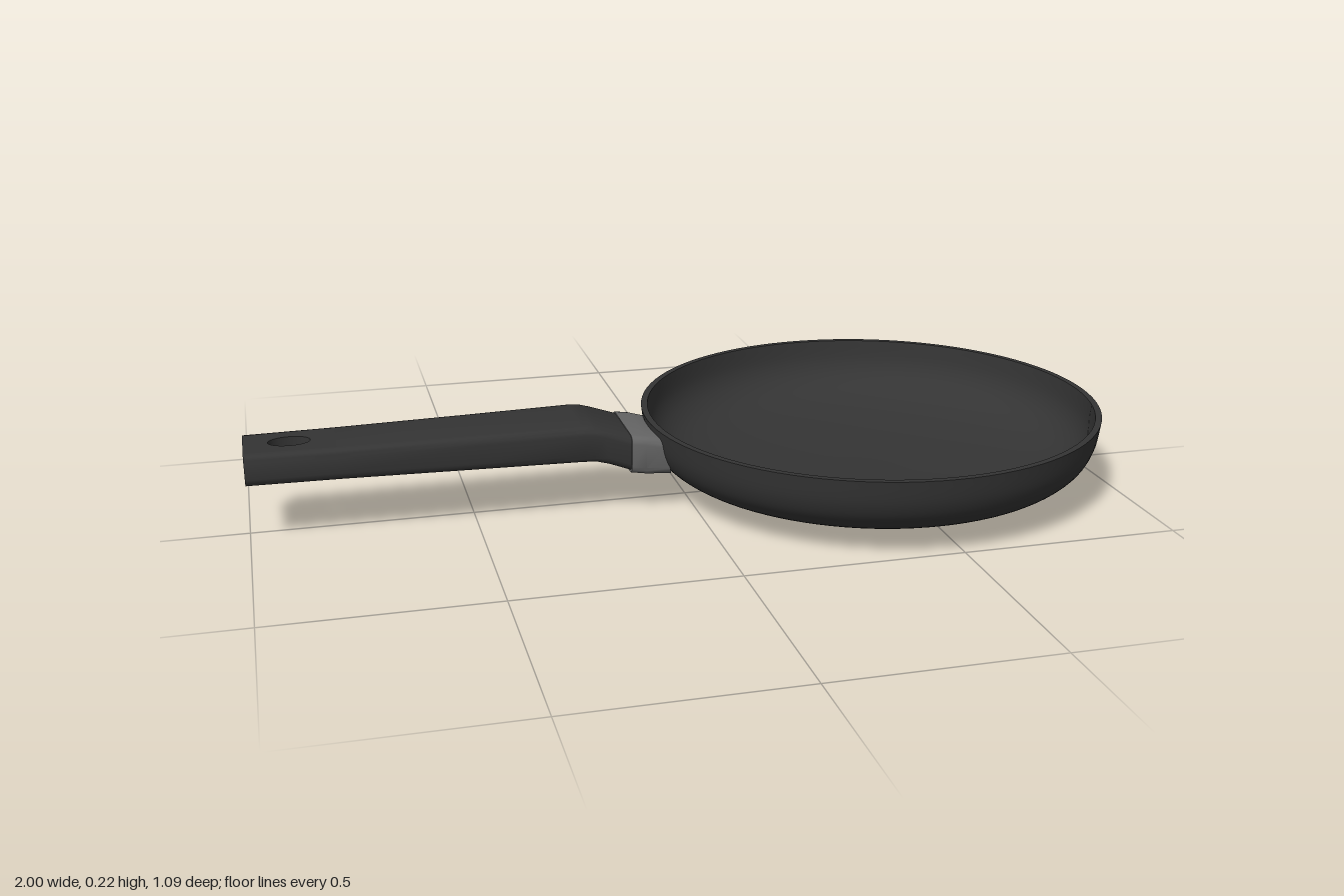
import * as THREE from 'three';
import { toCreasedNormals } from 'three/addons/utils/BufferGeometryUtils.js';

const ARC = 4; // segments per rounded corner
const RING = 4 * (ARC + 1);

// Rounded-rectangle section; station: xt/xb = x at top/bottom, yt/yb = heights, w = half width, r = corner radius
function section({ xt, xb = xt, yt, yb, w, r }) {
  const pts = [];
  const corners = [[1, 1], [-1, 1], [-1, -1], [1, -1]];
  corners.forEach(([sz, sy], k) => {
    for (let i = 0; i <= ARC; i++) {
      const a = (k + i / ARC) * Math.PI / 2;
      const z = sz * (w - r) + r * Math.cos(a);
      const y = (sy > 0 ? yt - r : yb + r) + r * Math.sin(a);
      const v = (y - yb) / (yt - yb);
      pts.push([xb + (xt - xb) * v, y, z]);
    }
  });
  return pts;
}

// Closed loft through the stations; skip(i, j) leaves a panel open
function loft(stations, skip = () => false) {
  const rings = stations.map(section);
  const pos = [];
  const tri = (a, b, c) => pos.push(...a, ...b, ...c);
  for (let i = 0; i < rings.length - 1; i++) {
    for (let j = 0; j < RING; j++) {
      if (skip(i, j)) continue;
      const k = (j + 1) % RING;
      const a = rings[i][j], b = rings[i][k], c = rings[i + 1][k], d = rings[i + 1][j];
      tri(a, d, c);
      tri(a, c, b);
    }
  }
  const first = rings[0], last = rings[rings.length - 1];
  for (let j = 1; j < RING - 1; j++) {
    tri(first[0], first[j], first[j + 1]);
    tri(last[0], last[j + 1], last[j]);
  }
  const geo = new THREE.BufferGeometry();
  geo.setAttribute('position', new THREE.Float32BufferAttribute(pos, 3));
  return toCreasedNormals(geo, 0.6);
}

function curvePoints(list, n) {
  return new THREE.SplineCurve(list.map(([x, y]) => new THREE.Vector2(x, y))).getPoints(n);
}

export function createModel() {
  const model = new THREE.Group();
  const material = (name, color) => {
    const m = new THREE.MeshStandardMaterial({ color, side: THREE.DoubleSide });
    m.name = name;
    return m;
  };
  const black = material('matte black', 0x343434);
  const grey = material('collar grey', 0x686868);

  const add = (parent, name, geo, mat) => {
    const mesh = new THREE.Mesh(geo, mat);
    mesh.name = name;
    parent.add(mesh);
    return mesh;
  };

  // Pan bowl: outer shell, rim and cooking surface
  const pan = new THREE.Group();
  pan.name = 'pan';
  pan.position.x = 0.455;
  model.add(pan);
  const outer = curvePoints([[0, 0], [0.12, 0.002], [0.25, 0.01], [0.38, 0.027], [0.46, 0.05],
    [0.51, 0.085], [0.535, 0.13], [0.545, 0.19]], 40);
  const inner = curvePoints([[0.53, 0.19], [0.52, 0.135], [0.495, 0.095], [0.45, 0.065],
    [0.37, 0.043], [0.25, 0.028], [0.12, 0.021], [0, 0.02]], 40);
  outer[0].x = inner[inner.length - 1].x = 0;
  const rim = [[0.545, 0.19], [0.53, 0.19]].map(([x, y]) => new THREE.Vector2(x, y));
  add(pan, 'outerShell', new THREE.LatheGeometry(outer, 96), black);
  add(pan, 'rim', new THREE.LatheGeometry(rim, 96), black);
  add(pan, 'cookingSurface', new THREE.LatheGeometry(inner, 96), black);

  // Handle: flat tapered bar that bends down towards the pan
  const handle = new THREE.Group();
  handle.name = 'handle';
  model.add(handle);
  const r = 0.018;
  const stations = [
    { xt: -1, yt: 0.209, yb: 0.136, w: 0.08, r },
    { xt: -0.8, yt: 0.209, yb: 0.136, w: 0.085, r },
    { xt: -0.5, yt: 0.212, yb: 0.133, w: 0.092, r },
    { xt: -0.26, yt: 0.215, yb: 0.131, w: 0.098, r },
    { xt: -0.235, xb: -0.23, yt: 0.213, yb: 0.13, w: 0.099, r },
    { xt: -0.21, xb: -0.2, yt: 0.206, yb: 0.122, w: 0.099, r },
    { xt: -0.14, xb: -0.145, yt: 0.182, yb: 0.101, w: 0.1, r },
  ];
  const topPanel = ARC, bottomPanel = 3 * ARC + 2;
  add(handle, 'handleBody', loft(stations, (i, j) => i === 0 && (j === topPanel || j === bottomPanel)), black);

  // Hanging hole: pierced top and bottom panels joined by an oval wall
  const [s0, s1] = stations;
  const plate = new THREE.Shape();
  plate.moveTo(s0.xt, r - s0.w);
  plate.lineTo(s1.xt, r - s1.w);
  plate.lineTo(s1.xt, s1.w - r);
  plate.lineTo(s0.xt, s0.w - r);
  plate.closePath();
  const hole = new THREE.Path();
  hole.absellipse(-0.9, 0, 0.046, 0.03, 0, Math.PI * 2, true);
  plate.holes.push(hole);
  for (const [name, y, turn] of [['holePanelTop', s0.yt, -1], ['holePanelBottom', s0.yb, 1]]) {
    const geo = new THREE.ShapeGeometry(plate, 24);
    geo.rotateX(turn * Math.PI / 2);
    add(handle, name, geo, black).position.y = y;
  }
  const wall = new THREE.CylinderGeometry(1, 1, s0.yt - s0.yb, 48, 1, true);
  wall.scale(0.046, 1, 0.03);
  add(handle, 'holeWall', wall, black).position.set(-0.9, (s0.yt + s0.yb) / 2, 0);

  // Collar joining handle and pan, ending inside the pan wall
  add(model, 'collar', loft([
    { xt: -0.148, xb: -0.15, yt: 0.187, yb: 0.098, w: 0.104, r },
    { xt: -0.115, xb: -0.115, yt: 0.182, yb: 0.092, w: 0.104, r },
    { xt: -0.077, xb: -0.055, yt: 0.172, yb: 0.086, w: 0.1, r },
  ]), grey);

  return model;
}
